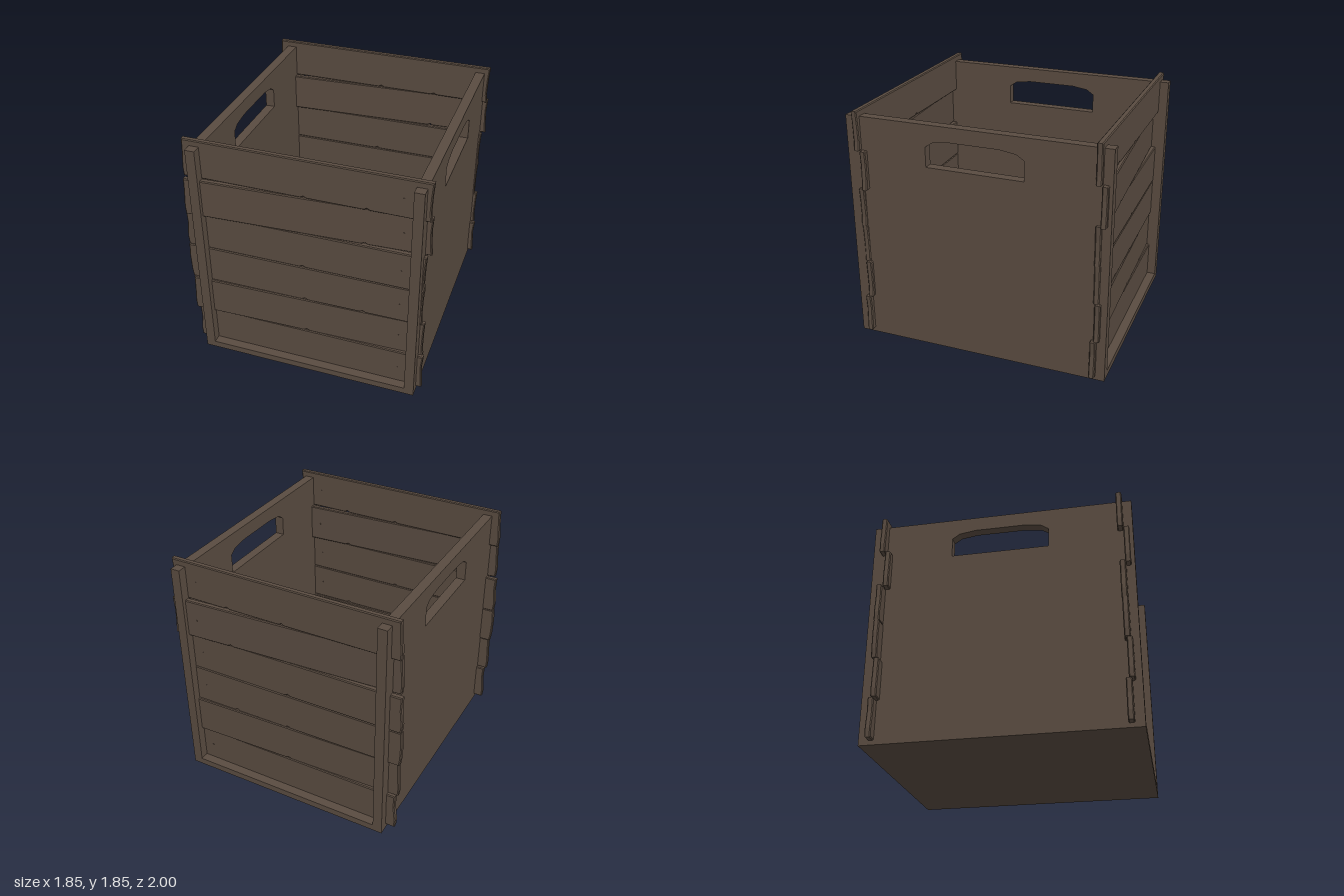
import * as THREE from 'three';

const wood = new THREE.MeshStandardMaterial({ color: 0x5a4c41 });
wood.name = 'brown wood';

function add(parent, name, geometry, x = 0, y = 0, z = 0) {
  const mesh = new THREE.Mesh(geometry, wood);
  mesh.name = name;
  mesh.position.set(x, y, z);
  parent.add(mesh);
  return mesh;
}

// Boards from top to bottom: ragged left and right ends (listed downward),
// z offset of the right end (the left end swings the other way), notches in the lower edge
const BOARDS = [
  { left: [-0.89, -0.895, -0.905, -0.9], right: [0.92, 0.912, 0.908, 0.916], skew: 0, notches: [0.013, 0.47] },
  { left: [-0.888, -0.892, -0.9, -0.894], right: [0.92, 0.912, 0.917, 0.924], skew: -0.045, notches: [0.45] },
  { left: [-0.918, -0.914, -0.926, -0.918], right: [0.9, 0.893, 0.89, 0.898], skew: -0.005, notches: [-0.01] },
  { left: [-0.922, -0.928, -0.924, -0.915], right: [0.894, 0.888, 0.885, 0.89], skew: -0.008, notches: [0, 0.45] },
  { left: [-0.905, -0.908, -0.915, -0.91], right: [0.91, 0.905, 0.902, 0.908], skew: -0.023, notches: [0.008] },
  { left: [-0.896, -0.892, -0.906, -0.9], right: [0.92, 0.91, 0.916, 0.92], skew: 0, notches: [] },
];
const BOARD_HEIGHT = 0.302, BOARD_THICKNESS = 0.044, BEVEL = 0.007;

// One plank outline with ragged ends and small V notches, extruded with chamfered edges
function boardGeometry({ left, right, notches }) {
  const h = BOARD_HEIGHT / 2;
  const levels = [h, h * 0.3, -h * 0.55, -h];
  const points = right.map((x, i) => new THREE.Vector2(x, levels[i]));
  for (const x of [...notches].reverse()) {
    points.push(new THREE.Vector2(x + 0.022, -h), new THREE.Vector2(x, -h + 0.012), new THREE.Vector2(x - 0.022, -h));
  }
  for (let i = 3; i >= 0; i--) points.push(new THREE.Vector2(left[i], levels[i]));
  const geometry = new THREE.ExtrudeGeometry(new THREE.Shape(points), {
    depth: BOARD_THICKNESS - 2 * BEVEL, bevelEnabled: true, bevelSegments: 1,
    bevelSize: BEVEL, bevelThickness: BEVEL, bevelOffset: -BEVEL,
  });
  return geometry.translate(0, 0, BEVEL - BOARD_THICKNESS / 2);
}

// A wall of six stacked planks, each with a nail near its right end
function slattedWall(name, z) {
  const wall = new THREE.Group();
  wall.name = name;
  wall.position.z = z;
  const nail = new THREE.CylinderGeometry(0.006, 0.006, BOARD_THICKNESS + 0.006, 8).rotateX(Math.PI / 2);
  BOARDS.forEach((spec, i) => {
    const board = add(wall, 'plank', boardGeometry(spec), 0, 1.694 - i * BOARD_HEIGHT, 0);
    board.rotation.y = -Math.atan2(spec.skew, 0.91);
    add(board, 'nail', nail, 0.725, 0, 0);
  });
  return wall;
}

// Solid side panel with an arched hand hole
function sidePanelGeometry(thickness) {
  const shape = new THREE.Shape([[-1, 0], [1, 0], [1, 1.8], [-1, 1.8]].map(p => new THREE.Vector2(...p)));
  const half = [[0.372, 1.48], [0.372, 1.632], [0.315, 1.67], [0.19, 1.688]];
  const outline = [...half, ...half.map(([z, y]) => [-z, y]).reverse()];
  shape.holes.push(new THREE.Path(outline.map(p => new THREE.Vector2(...p))));
  return new THREE.ExtrudeGeometry(shape, { depth: thickness, bevelEnabled: false })
    .translate(0, 0, -thickness / 2).rotateY(Math.PI / 2);
}

export function createModel() {
  const crate = new THREE.Group();
  crate.name = 'crate';

  const panel = sidePanelGeometry(0.073);
  add(crate, 'leftSidePanel', panel, 0.8415);
  add(crate, 'rightSidePanel', panel, -0.7935);
  add(crate, 'floor', new THREE.BoxGeometry(1.562, 0.052, 2), 0.024, 0.026, 0);

  crate.add(slattedWall('frontWall', 0.91), slattedWall('backWall', -0.909));
  return crate;
}
